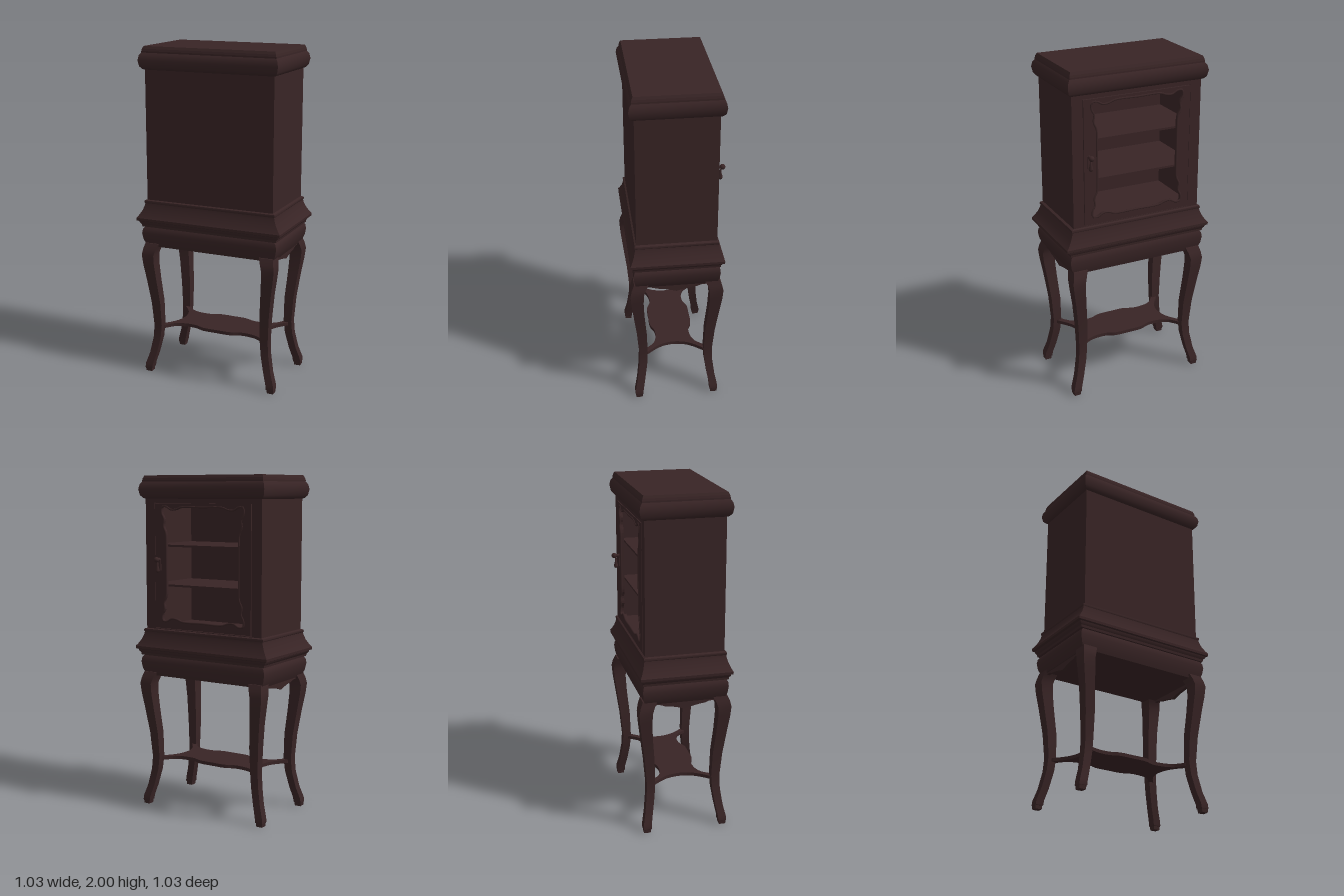
import * as THREE from 'three';

const wood = new THREE.MeshStandardMaterial({ color: 0x382425 });
wood.name = 'dark mahogany';

// Half width and half depth of the cabinet case
const W = 0.4, D = 0.23;

// Loft of rectangles, bottom to top: [y, cx, cz, halfX, halfZ, crease]
function loft(rings) {
  const list = rings.flatMap(r => (r[5] ? [r, r] : [r]));
  const signs = [[1, 1], [1, -1], [-1, -1], [-1, 1]];
  const pos = [], idx = [];
  const corner = (r, k) => [r[1] + signs[k % 4][0] * r[3], r[0], r[2] + signs[k % 4][1] * r[4]];
  for (let k = 0; k < 4; k++) {
    const base = pos.length / 3;
    list.forEach((r, i) => {
      pos.push(...corner(r, k), ...corner(r, k + 1));
      if (i === 0) return;
      const a = base + 2 * (i - 1);
      idx.push(a, a + 1, a + 3, a, a + 3, a + 2);
    });
  }
  for (const [r, up] of [[list[0], false], [list[list.length - 1], true]]) {
    const b = pos.length / 3;
    for (let k = 0; k < 4; k++) pos.push(...corner(r, k));
    idx.push(...(up ? [b, b + 1, b + 2, b, b + 2, b + 3] : [b, b + 2, b + 1, b, b + 3, b + 2]));
  }
  const g = new THREE.BufferGeometry();
  g.setAttribute('position', new THREE.Float32BufferAttribute(pos, 3));
  g.setIndex(idx);
  g.computeVertexNormals();
  return g;
}

// Moulding all round the case: [y, projection, crease]
const moulding = (profile, kx, kz) =>
  loft(profile.map(([y, d, c]) => [y, 0, 0, W + d * kx, D + d * kz, c]));

// Closed smooth curve from one quarter of a symmetric outline
function quarterCurve(q) {
  const rev = [...q].reverse();
  const pts = [
    ...q,
    ...rev.slice(1).map(([x, y]) => [x, -y]),
    ...q.slice(1).map(([x, y]) => [-x, -y]),
    ...rev.slice(1, -1).map(([x, y]) => [-x, y]),
  ];
  return new THREE.CatmullRomCurve3(pts.map(([x, y]) => new THREE.Vector3(x, y, 0)), true);
}
const flat = curve => curve.getPoints(120).slice(0, -1).map(p => new THREE.Vector2(p.x, p.y));

function rectPoints(hx, hy) {
  return [[-hx, -hy], [hx, -hy], [hx, hy], [-hx, hy]].map(p => new THREE.Vector2(...p));
}

function plate(outline, hole, depth) {
  const s = new THREE.Shape(outline);
  if (hole) s.holes.push(new THREE.Path(hole));
  return new THREE.ExtrudeGeometry(s, { depth, bevelEnabled: false });
}

export function createModel() {
  const model = new THREE.Group();
  model.name = 'cabinetOnStand';
  const cabinet = new THREE.Group();
  cabinet.name = 'cabinet';
  cabinet.rotation.y = Math.PI * 0.75;
  model.add(cabinet);

  const add = (name, geo, x = 0, y = 0, z = 0) => {
    const m = new THREE.Mesh(geo, wood);
    m.name = name;
    m.position.set(x, y, z);
    cabinet.add(m);
    return m;
  };
  const box = (name, w, h, d, x, y, z) => add(name, new THREE.BoxGeometry(w, h, d), x, y, z);

  // Cornice
  add('cornice', moulding([
    [1.865, 0], [1.869, 0.01], [1.885, 0.024], [1.92, 0.031], [1.948, 0.025],
    [1.963, 0.014, 1], [1.972, 0.014, 1], [1.985, 0.011, 1], [2, 0.004],
  ], 1, 1));

  // Waist moulding and apron
  add('waistAndApron', moulding([
    [0.81, 0.005], [0.82, 0.009], [0.85, 0.02], [0.89, 0.026], [0.915, 0.022], [0.93, 0.012, 1],
    [0.931, 0.024, 1], [0.945, 0.026, 1], [0.955, 0.034], [0.965, 0.037, 1],
    [0.97, 0.048, 1], [0.985, 0.049, 1], [1.0, 0.038], [1.03, 0.022], [1.06, 0.012],
    [1.074, 0.01, 1], [1.08, 0.014], [1.09, 0.012, 1], [1.095, 0],
  ], 1.2, 0.8));

  // Case walls and shelves
  const h = 0.79, cy = 1.48;
  for (const s of [-1, 1]) box(s > 0 ? 'leftWall' : 'rightWall', 0.015, h, 2 * D, s * (W - 0.0075), cy, 0);
  box('backWall', 2 * W - 0.03, h, 0.012, 0, cy, -D + 0.006);
  for (const y of [1.355, 1.59]) box('shelf', 2 * W - 0.03, 0.012, 0.41, 0, y, -0.01);

  // Front frame and door with a wavy opening
  const doorY = 1.47;
  const doorHole = rectPoints(0.334, 0.371);
  add('frontFrame', plate(rectPoints(W - 0.014, 0.4), doorHole, 0.018), 0, doorY, D - 0.018);
  const opening = quarterCurve([
    [0, 0.335], [0.14, 0.335], [0.18, 0.322], [0.215, 0.32], [0.25, 0.338], [0.28, 0.335],
    [0.284, 0.3], [0.267, 0.265], [0.272, 0.225], [0.255, 0.185], [0.252, 0.12], [0.252, 0],
  ]);
  const windowY = doorY + 0.012;
  const holePts = flat(opening).map(p => new THREE.Vector2(p.x, p.y + 0.012));
  add('door', plate(rectPoints(0.331, 0.368), holePts, 0.02), 0, doorY, D - 0.018);
  add('windowTrim', new THREE.TubeGeometry(opening, 160, 0.006, 6, true), 0, windowY, D + 0.001);

  // Door handle: rose, knob and drop
  const hx = -0.3;
  const stem = new THREE.CylinderGeometry(0.007, 0.01, 0.03, 12);
  stem.rotateX(Math.PI / 2);
  add('handleStem', stem, hx, 1.51, D + 0.015);
  add('handleKnob', new THREE.SphereGeometry(0.016, 16, 12), hx, 1.51, D + 0.034);
  add('keyPlate', new THREE.BoxGeometry(0.022, 0.07, 0.008), hx, 1.48, D + 0.004);
  add('handleDrop', new THREE.LatheGeometry([
    [0, -0.035], [0.01, -0.028], [0.013, -0.018], [0.007, 0.005], [0.004, 0.03], [0, 0.03],
  ].map(p => new THREE.Vector2(...p)), 12), hx, 1.465, D + 0.024);

  // Scalloped valances on the short sides
  const scallop = new THREE.Shape();
  scallop.moveTo(-0.2, 0.03);
  scallop.lineTo(-0.2, -0.015);
  scallop.quadraticCurveTo(-0.15, -0.005, -0.12, -0.022);
  scallop.quadraticCurveTo(-0.06, -0.028, 0, -0.048);
  scallop.quadraticCurveTo(0.06, -0.028, 0.12, -0.022);
  scallop.quadraticCurveTo(0.15, -0.005, 0.2, -0.015);
  scallop.lineTo(0.2, 0.03);
  for (const s of [-1, 1]) {
    const g = new THREE.ExtrudeGeometry(scallop, { depth: 0.02, bevelEnabled: false });
    g.translate(0, 0, -0.01);
    g.rotateY(Math.PI / 2);
    add('sideValance', g, s * 0.39, 0.812, 0);
  }

  // Cabriole legs: [y, x, z, half thickness, crease]
  const leg = [
    [0, 0.404, 0.23, 0.019], [0.02, 0.404, 0.23, 0.021, 1], [0.024, 0.403, 0.229, 0.024],
    [0.05, 0.4, 0.228, 0.024], [0.12, 0.378, 0.214, 0.023], [0.22, 0.357, 0.2, 0.024],
    [0.3, 0.35, 0.196, 0.025], [0.45, 0.355, 0.205, 0.029], [0.6, 0.371, 0.222, 0.032],
    [0.7, 0.383, 0.231, 0.036], [0.76, 0.387, 0.232, 0.039], [0.795, 0.379, 0.222, 0.041],
    [0.83, 0.368, 0.205, 0.043],
  ];
  for (const sx of [-1, 1]) for (const sz of [-1, 1]) {
    add((sz > 0 ? 'front' : 'back') + (sx > 0 ? 'Left' : 'Right') + 'Leg',
      loft(leg.map(([y, x, z, t, c]) => [y, sx * x, sz * z, t, t, c])));
  }

  // Stretcher shelf with arms reaching the legs
  const stretcher = quarterCurve([
    [0, 0.13], [0.09, 0.128], [0.14, 0.108], [0.18, 0.104], [0.24, 0.112], [0.285, 0.135],
    [0.34, 0.2], [0.36, 0.186], [0.312, 0.118], [0.285, 0.07], [0.272, 0],
  ]);
  const tray = plate(flat(stretcher), null, 0.02);
  tray.rotateX(Math.PI / 2);
  add('stretcherShelf', tray, 0, 0.293, 0);

  return model;
}
